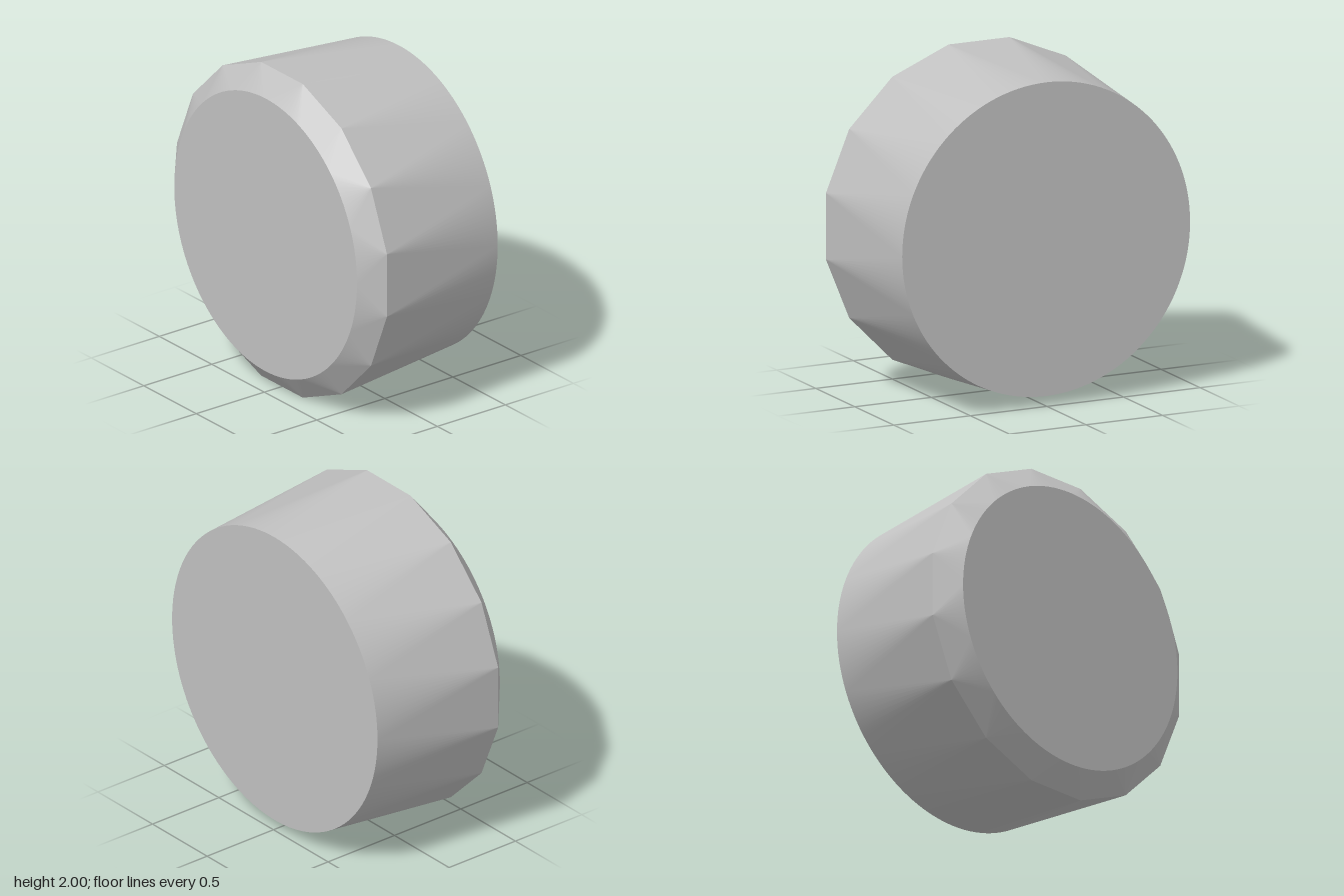
import * as THREE from 'three';

const SIDES = 16, ARC = 8, STEP = (Math.PI * 2) / SIDES;
const RIM_Z = 0.37, RIM_R = 1 / Math.cos(STEP / 2);
const FRONT = { z: 0.49, r: 0.87 }, BACK = { z: -0.49, r: 0.94 };

const polar = (r, a, z) => new THREE.Vector3(r * Math.cos(a), r * Math.sin(a), z);
const rimCorner = (k) => polar(RIM_R, (k + 0.5) * STEP, RIM_Z);

// Surface between the sixteen-sided rim and a round edge:
// a flat triangle on each rim side, a smooth cone fan at each rim corner.
function skirtGeometry({ z, r }) {
  const front = z > RIM_Z;
  const positions = [], normals = [];
  const normalAt = (corner, a) => polar(1, a + Math.PI / 2, 0)
    .cross(corner.clone().sub(polar(r, a, z)))
    .multiplyScalar(front ? -1 : 1).normalize();
  const triangle = (points, norms) => {
    for (const i of front ? [0, 1, 2] : [1, 0, 2]) {
      positions.push(...points[i].toArray());
      normals.push(...norms[i].toArray());
    }
  };
  for (let k = 0; k < SIDES; k++) {
    const corner = rimCorner(k), mid = k * STEP;
    const flat = normalAt(corner, mid);
    triangle([rimCorner(k - 1), corner, polar(r, mid, z)], [flat, flat, flat]);
    for (let j = 0; j < ARC; j++) {
      const a = mid + (j / ARC) * STEP, b = mid + ((j + 1) / ARC) * STEP;
      const na = normalAt(corner, a), nb = normalAt(corner, b);
      triangle([polar(r, b, z), polar(r, a, z), corner],
        [nb, na, na.clone().add(nb).normalize()]);
    }
  }
  const geometry = new THREE.BufferGeometry();
  geometry.setAttribute('position', new THREE.Float32BufferAttribute(positions, 3));
  geometry.setAttribute('normal', new THREE.Float32BufferAttribute(normals, 3));
  return geometry;
}

export function createModel() {
  const group = new THREE.Group();
  group.name = 'facetedKnob';
  const grey = new THREE.MeshStandardMaterial({ color: 0xc0c0c0 });
  grey.name = 'light grey';

  const add = (name, geometry) => {
    const mesh = new THREE.Mesh(geometry, grey);
    mesh.name = name;
    mesh.position.y = 1;
    group.add(mesh);
  };

  // Tapered body and front bevel
  add('body', skirtGeometry(BACK));
  add('frontBevel', skirtGeometry(FRONT));

  // Round end faces
  add('frontFace', new THREE.CircleGeometry(FRONT.r, SIDES * ARC).translate(0, 0, FRONT.z));
  add('backFace', new THREE.CircleGeometry(BACK.r, SIDES * ARC).rotateY(Math.PI).translate(0, 0, BACK.z));

  return group;
}
